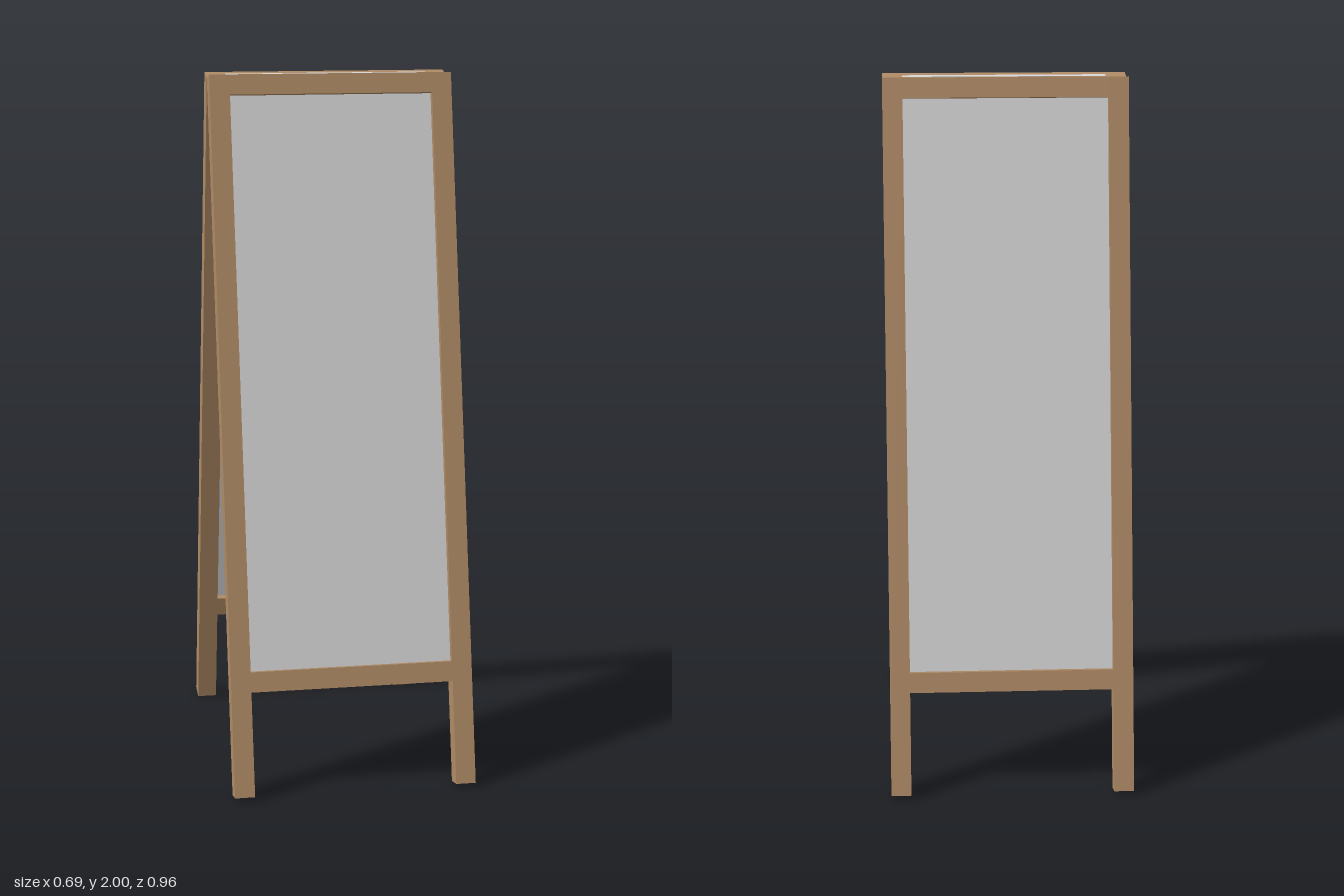
import * as THREE from 'three';

const TILT = THREE.MathUtils.degToRad(12);
const T = 0.057;          // square section of every wooden bar
const LENGTH = 2.0325;    // length of a leg along its slope
const INNER = 0.29;       // half the clear width between the legs
const RAIL_END = 1.738;   // lower edge of the bottom rail, measured from the top
const PANEL_T = 0.0145;

export function createModel() {
  const wood = new THREE.MeshStandardMaterial({ color: 0xaf8a65 });
  wood.name = 'wood';
  const board = new THREE.MeshStandardMaterial({ color: 0xd5d5d5 });
  board.name = 'board';

  // Box whose top edge is at `top`, hanging down by `height`, centred in the bar depth
  function bar(name, material, width, height, depth, x, top) {
    const mesh = new THREE.Mesh(new THREE.BoxGeometry(width, height, depth), material);
    mesh.name = name;
    mesh.position.set(x, top - height / 2, T / 2);
    return mesh;
  }

  // One leaning frame, pivoting at its inner top edge
  function makeFrame(name) {
    const frame = new THREE.Group();
    frame.name = name;
    const legX = INNER + T / 2;
    frame.add(
      bar('leftLeg', wood, T, LENGTH, T, legX, 0),
      bar('rightLeg', wood, T, LENGTH, T, -legX, 0),
      bar('topRail', wood, INNER * 2, T, T, 0, 0),
      bar('bottomRail', wood, INNER * 2, T, T, 0, T - RAIL_END),
      // The panel runs through the rails, its top edge showing as a strip
      bar('panel', board, INNER * 2, RAIL_END - 0.001, PANEL_T, 0, 0.0006)
    );
    frame.rotation.x = -TILT;
    frame.position.y = LENGTH * Math.cos(TILT);
    return frame;
  }

  const model = new THREE.Group();
  model.name = 'sandwichBoard';
  const backHalf = new THREE.Group();
  backHalf.name = 'backHalf';
  backHalf.add(makeFrame('backFrame'));
  backHalf.rotation.y = Math.PI;
  model.add(makeFrame('frontFrame'), backHalf);
  return model;
}
